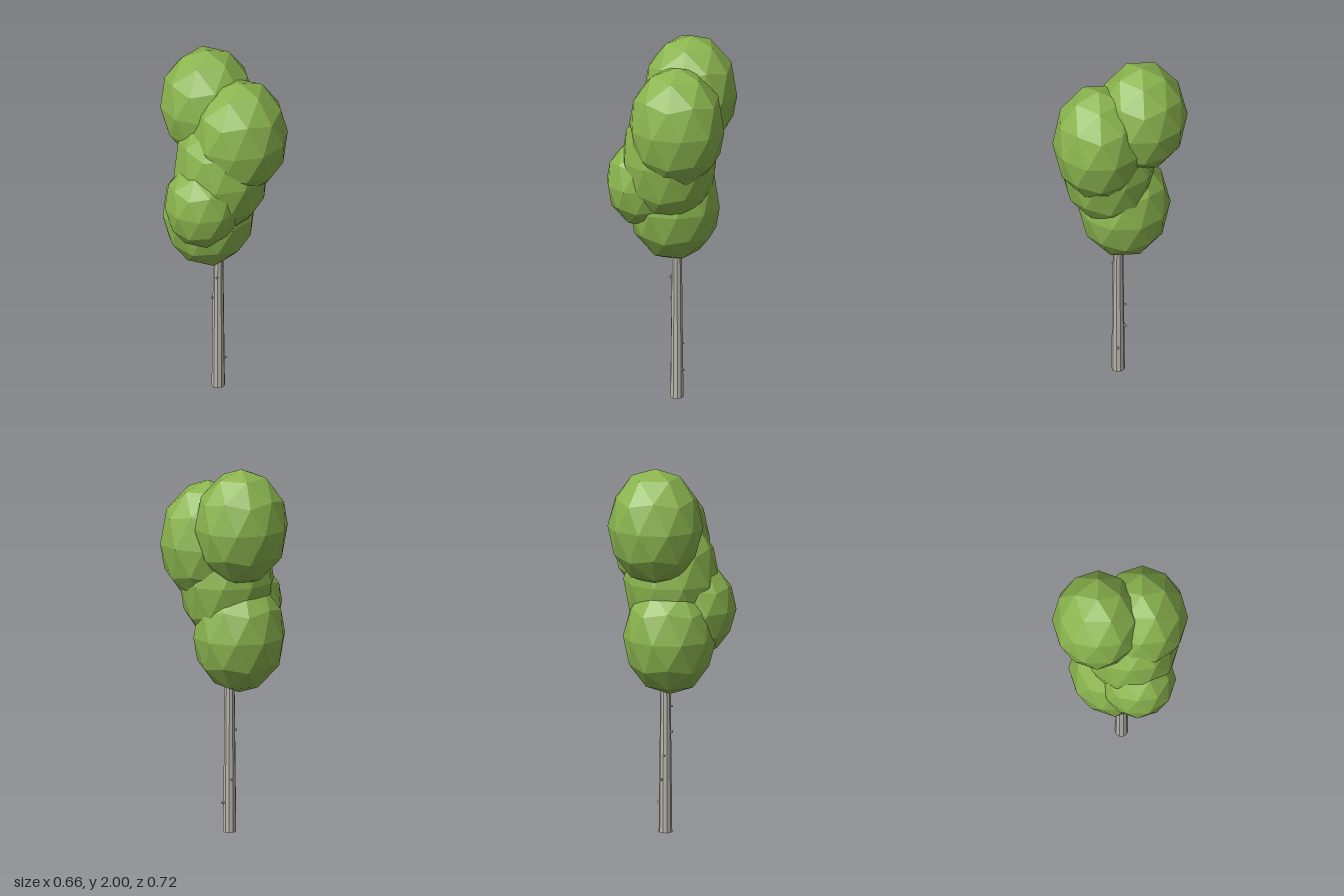
import * as THREE from 'three';

export function createModel() {
  const tree = new THREE.Group();
  tree.name = 'tree';

  const leafGreen = new THREE.MeshStandardMaterial({ color: 0x8ab44e, flatShading: true });
  leafGreen.name = 'leafGreen';
  const barkGrey = new THREE.MeshStandardMaterial({ color: 0xbab5ad, flatShading: true });
  barkGrey.name = 'barkGrey';

  const add = (name, geometry, material, x, y, z) => {
    const mesh = new THREE.Mesh(geometry, material);
    mesh.name = name;
    mesh.position.set(x, y, z);
    tree.add(mesh);
    return mesh;
  };

  // Low-poly leaf ball, turned so that one corner points straight up
  const ball = new THREE.IcosahedronGeometry(1, 1);
  ball.rotateZ(-Math.atan(2 / (1 + Math.sqrt(5))));

  // Crown: name, centre, radii
  const clumps = [
    ['crownTopBack', [0.017, 1.685, -0.118], [0.256, 0.315, 0.242]],
    ['crownTopFront', [0.08, 1.567, 0.115], [0.263, 0.335, 0.245]],
    ['crownMiddle', [-0.003, 1.36, 0.06], [0.257, 0.36, 0.252]],
    ['crownSide', [-0.138, 1.21, 0.097], [0.205, 0.245, 0.202]],
    ['crownLower', [-0.028, 1.072, -0.025], [0.25, 0.312, 0.247]],
  ];
  for (const [name, centre, radii] of clumps) {
    add(name, ball, leafGreen, ...centre).scale.set(...radii);
  }

  // Slim tapered trunk running up into the crown
  add('trunk', new THREE.CylinderGeometry(0.024, 0.036, 1.1, 10), barkGrey, 0.011, 0.55, 0.008);

  // Tiny twig stubs: height and angle around the trunk
  const stub = new THREE.CylinderGeometry(0.006, 0.007, 0.024, 6);
  stub.rotateZ(-Math.PI / 2);
  const stubs = [[0.68, 2.3], [0.55, 3.2], [0.42, -1.7], [0.29, -1.3], [0.16, 0.1]];
  for (const [y, angle] of stubs) {
    const r = 0.036 - 0.011 * y;
    const twig = add('twigStub', stub, barkGrey,
      0.011 + Math.cos(angle) * r, y, 0.008 + Math.sin(angle) * r);
    twig.rotation.y = -angle;
  }

  return tree;
}
